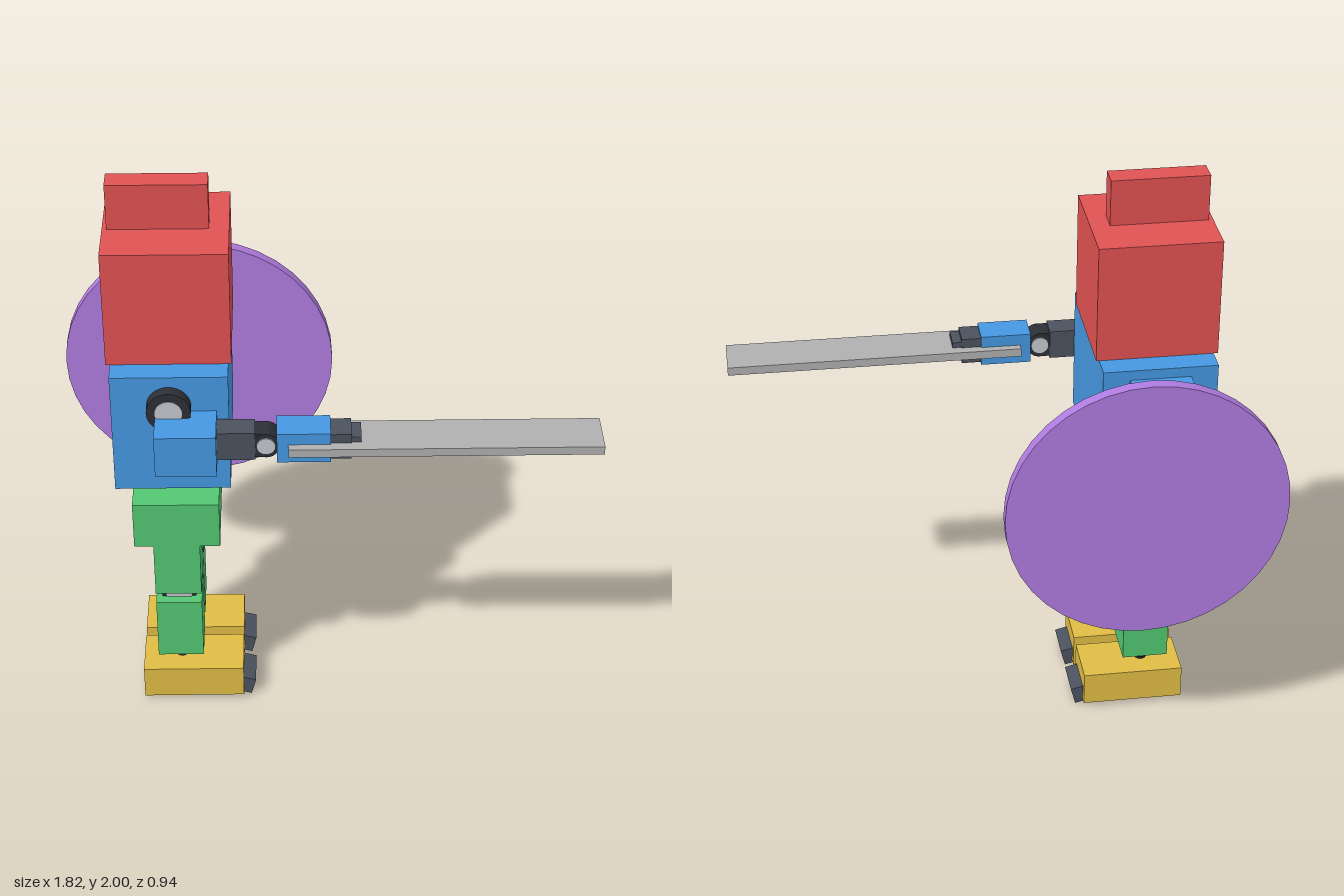
import * as THREE from 'three';

const mat = (color, flatShading = false) => new THREE.MeshStandardMaterial({ color, flatShading });
const red = mat(0xe05252), blue = mat(0x4698e2), green = mat(0x52c772), yellow = mat(0xe0bd45);
const purple = mat(0xb07ce0), slate = mat(0x4b525e), dark = mat(0x2c2f36), light = mat(0xc4c8ce), steel = mat(0xb0b0b0);

const CX = -0.505, CZ = 0.03; // body axis

function add(parent, name, geometry, material, x, y, z) {
  const mesh = new THREE.Mesh(geometry, material);
  mesh.name = name;
  mesh.position.set(x, y, z);
  parent.add(mesh);
  return mesh;
}

// Box given by its extents along each axis
function box(parent, name, material, [x0, x1], [y0, y1], [z0, z1]) {
  return add(parent, name, new THREE.BoxGeometry(x1 - x0, y1 - y0, z1 - z0), material,
    (x0 + x1) / 2, (y0 + y1) / 2, (z0 + z1) / 2);
}

// Cylinder along y, or along z when alongZ is set
function cylinder(parent, name, material, r, h, x, y, z, alongZ = false) {
  const g = new THREE.CylinderGeometry(r, r, h, 32);
  if (alongZ) g.rotateX(Math.PI / 2);
  return add(parent, name, g, material, x, y, z);
}

// Arm below the shoulder, hanging down, with the elbow at its origin
function arm(name, handTop, handEnd) {
  const g = new THREE.Group();
  g.name = name;
  box(g, 'upperArm', slate, [-0.052, 0.052], [0.035, 0.2], [-0.042, 0.042]);
  box(g, 'elbowFork', dark, [-0.045, 0.045], [-0.005, 0.04], [-0.038, 0.038]);
  cylinder(g, 'elbowJoint', dark, 0.045, 0.078, 0, 0, 0, true);
  cylinder(g, 'elbowPin', light, 0.031, 0.088, 0, 0, 0, true);
  box(g, 'forearm', blue, [-0.055, 0.055], [-0.21, -0.035], [-0.054, 0.054]);
  add(g, 'wristBall', new THREE.SphereGeometry(0.04, 24, 16), dark, 0, -0.205, 0);
  box(g, 'hand', slate, [-0.047, 0.047], [handEnd + 0.032, handTop], [-0.047, 0.047]);
  box(g, 'fingers', slate, [-0.034, 0.034], [handEnd, handEnd + 0.034], [-0.043, 0.043]);
  return g;
}

// Leg and foot centred on a given z
function leg(name, z) {
  const g = new THREE.Group();
  g.name = name;
  g.position.set(CX, 0, z);
  box(g, 'thigh', green, [-0.08, 0.08], [0.475, 0.69], [-0.084, 0.084]);
  cylinder(g, 'knee', dark, 0.06, 0.094, 0, 0.45, 0, true);
  cylinder(g, 'kneePin', light, 0.045, 0.1, 0, 0.45, 0, true);
  box(g, 'shin', green, [-0.08, 0.08], [0.2, 0.435], [-0.084, 0.084]);
  add(g, 'ankleBall', new THREE.SphereGeometry(0.043, 24, 16), dark, 0, 0.185, 0);
  cylinder(g, 'anklePost', dark, 0.02, 0.06, 0, 0.14, 0);
  box(g, 'foot', yellow, [-0.135, 0.22], [0.018, 0.14], [-0.095, 0.095]);
  box(g, 'heelInsert', dark, [-0.137, 0.12], [0.016, 0.07], [-0.04, 0.04]);
  const toe = box(g, 'toe', slate, [0.204, 0.256], [0.006, 0.07], [-0.068, 0.068]);
  toe.rotation.z = -0.26;
  return g;
}

export function createModel() {
  const model = new THREE.Group();
  model.name = 'blockFigure';

  // Head and torso
  box(model, 'head', red, [-0.71, -0.3], [1.43, 1.84], [-0.175, 0.235]);
  box(model, 'crest', red, [-0.695, -0.365], [1.84, 2], [-0.01, 0.07]);
  box(model, 'torso', blue, [-0.695, -0.31], [0.99, 1.43], [-0.257, 0.315]);

  // Ribbed waist
  box(model, 'waistPlate', dark, [-0.595, -0.415], [0.975, 0.991], [-0.085, 0.145]);
  cylinder(model, 'waistPost', light, 0.036, 0.14, CX, 0.92, CZ);
  for (let i = 0; i < 4; i++) {
    cylinder(model, 'waistRing', slate, 0.046, 0.015, CX, 0.875 + i * 0.029, CZ);
  }

  // Hips and legs
  box(model, 'hips', green, [-0.65, -0.355], [0.685, 0.86], [-0.175, 0.235]);
  model.add(leg('frontLeg', 0.148), leg('backLeg', -0.086));

  // Front arm, reaching out along x with the blade
  cylinder(model, 'frontShoulderJoint', dark, 0.073, 0.05, CX, 1.32, 0.332, true);
  cylinder(model, 'frontShoulderPin', light, 0.045, 0.054, CX, 1.32, 0.333, true);
  box(model, 'frontShoulder', blue, [-0.55, -0.35], [1.15, 1.3], [0.31, 0.472]);
  const frontArm = arm('frontArm', -0.21, -0.31);
  frontArm.position.set(-0.19, 1.222, 0.368);
  frontArm.rotation.z = Math.PI / 2;
  model.add(frontArm);
  box(model, 'blade', steel, [-0.118, 0.907], [1.206, 1.236], [0.287, 0.452]);

  // Back arm, hanging down beside the round shield
  box(model, 'backShoulder', blue, [-0.605, -0.4], [1.245, 1.395], [-0.416, -0.255]);
  const backArm = arm('backArm', -0.23, -0.365);
  backArm.position.set(CX, 1.055, -0.31);
  model.add(backArm);
  const shield = new THREE.CylinderGeometry(0.477, 0.477, 0.042, 40).rotateX(Math.PI / 2);
  add(model, 'shield', shield, purple, -0.433, 1.014, -0.452);

  return model;
}
